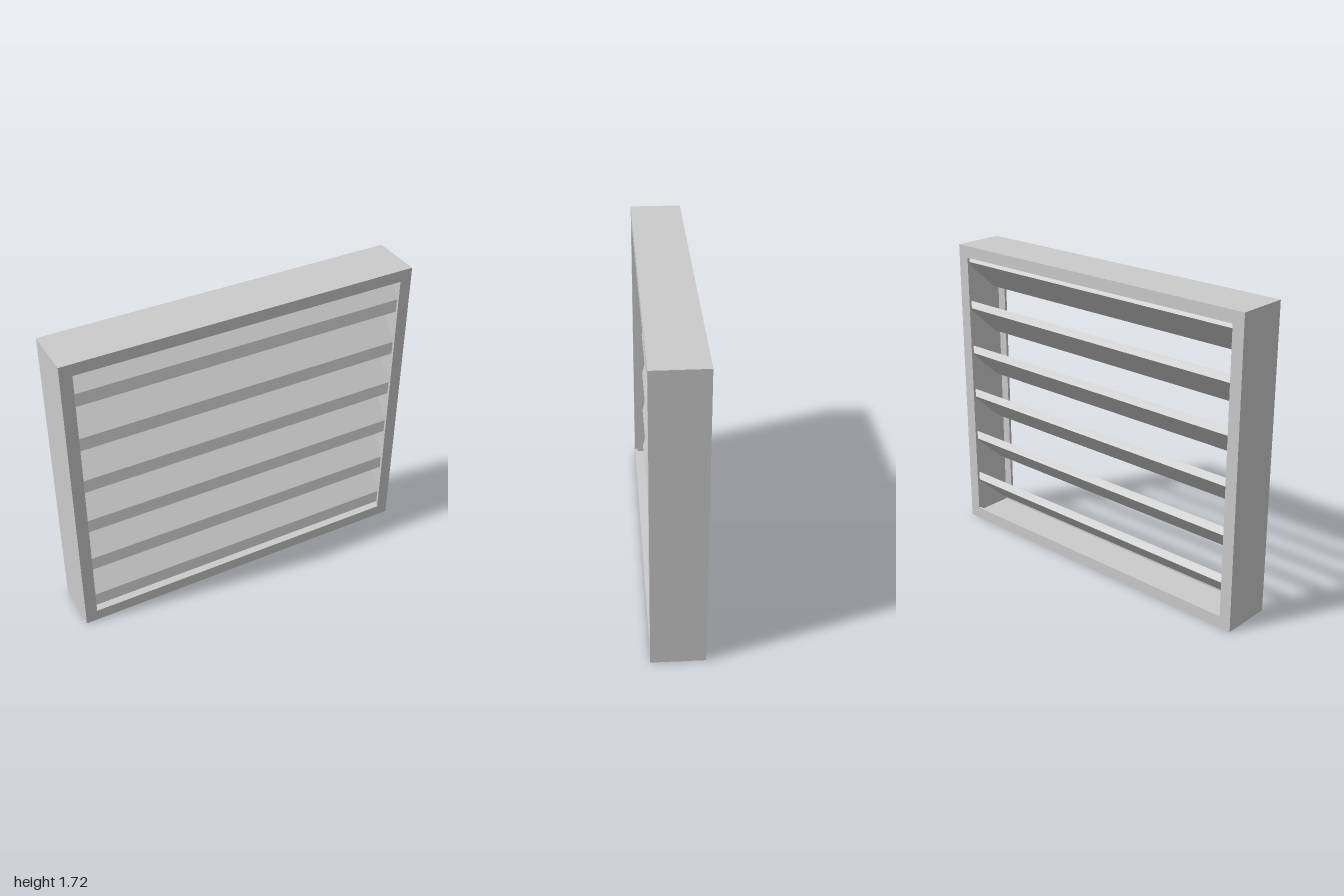
import * as THREE from 'three';

const WIDTH = 2, HEIGHT = 1.72, DEPTH = 0.29;
const BORDER = 0.067, SHEET = 0.015;
const SLAT_COUNT = 6, SLAT_PITCH = 0.275, FIRST_SLAT = 0.055;

// Rectangular ring with the outer size of the frame, from z to z + depth
function ring(inset, z, depth) {
  const x = WIDTH / 2, ix = x - inset;
  const shape = new THREE.Shape([
    new THREE.Vector2(-x, 0), new THREE.Vector2(x, 0),
    new THREE.Vector2(x, HEIGHT), new THREE.Vector2(-x, HEIGHT),
  ]);
  shape.holes.push(new THREE.Path([
    new THREE.Vector2(-ix, inset), new THREE.Vector2(-ix, HEIGHT - inset),
    new THREE.Vector2(ix, HEIGHT - inset), new THREE.Vector2(ix, inset),
  ]));
  return new THREE.ExtrudeGeometry(shape, { depth, bevelEnabled: false }).translate(0, 0, z);
}

export function createModel() {
  const group = new THREE.Group();
  group.name = 'louvreVent';
  const material = new THREE.MeshStandardMaterial({ color: 0xcccccc, flatShading: true });
  const add = (parent, name, geometry) => {
    const mesh = new THREE.Mesh(geometry, material);
    mesh.name = name;
    parent.add(mesh);
    return mesh;
  };

  // Channel frame, open towards the slats: outer wall and two flanges
  const frame = new THREE.Group();
  frame.name = 'frame';
  add(frame, 'outerWall', ring(SHEET, SHEET - DEPTH / 2, DEPTH - 2 * SHEET));
  add(frame, 'frontFlange', ring(BORDER, DEPTH / 2 - SHEET, SHEET));
  add(frame, 'backFlange', ring(BORDER, -DEPTH / 2, SHEET));
  group.add(frame);

  // Slat cross-section as (z, y): a plate sloping down to a steep front edge
  const profile = new THREE.Shape([
    [-0.11, 0.187], [0.09, 0], [0.075, 0.065], [-0.082, 0.22],
  ].map(([z, y]) => new THREE.Vector2(z, y)));
  const length = WIDTH - 2 * SHEET;
  const slatGeometry = new THREE.ExtrudeGeometry(profile, { depth: length, bevelEnabled: false });
  slatGeometry.translate(0, 0, -length / 2).rotateY(-Math.PI / 2);

  // Evenly stacked slats, their ends held inside the channel
  const slats = new THREE.Group();
  slats.name = 'slats';
  for (let i = 0; i < SLAT_COUNT; i++) {
    add(slats, `slat${i + 1}`, slatGeometry).position.y = FIRST_SLAT + i * SLAT_PITCH;
  }
  group.add(slats);
  return group;
}
